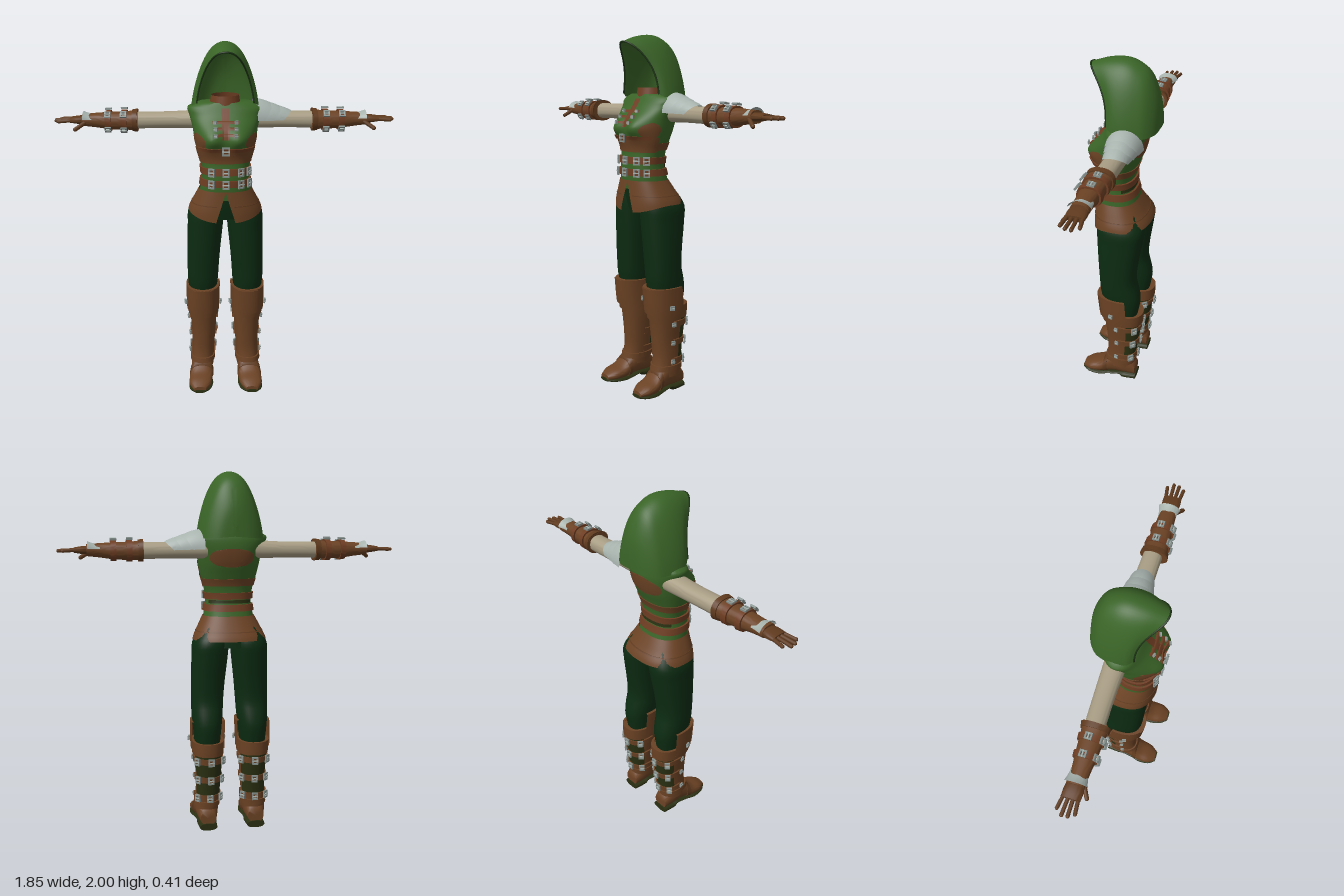
import * as THREE from 'three';
import { toCreasedNormals } from 'three/addons/utils/BufferGeometryUtils.js';

const PI = Math.PI, FRONT = PI / 2;
const mat = (name, color) => new THREE.MeshStandardMaterial({ name, color, side: THREE.DoubleSide });
const M = {
  green: mat('clothGreen', 0x3a6427), pants: mat('trouserGreen', 0x0c2b12), rim: mat('hoodRim', 0x1c3314),
  brown: mat('leather', 0x6b4224), strap: mat('strapLeather', 0x6e3d22), glove: mat('gloveLeather', 0x5f3a1e),
  skin: mat('sleeve', 0xa89d84), silver: mat('silverPlate', 0xa8b3ae), steel: mat('steel', 0x87928f),
  olive: mat('oliveLining', 0x2a3012),
};

function mesh(parent, name, geo, material) {
  const m = new THREE.Mesh(geo, material);
  m.name = name;
  parent.add(m);
  return m;
}

// Grid surface from fn(u, v) -> [x, y, z]
function surf(nu, nv, fn, flip = false) {
  const pos = [], idx = [];
  for (let j = 0; j <= nv; j++) for (let i = 0; i <= nu; i++) pos.push(...fn(i / nu, j / nv, j));
  for (let j = 0; j < nv; j++) for (let i = 0; i < nu; i++) {
    const a = j * (nu + 1) + i, b = a + 1, c = a + nu + 1, d = c + 1;
    idx.push(...(flip ? [a, c, b, b, c, d] : [a, b, c, b, d, c]));
  }
  const g = new THREE.BufferGeometry();
  g.setAttribute('position', new THREE.Float32BufferAttribute(pos, 3));
  g.setIndex(idx);
  return toCreasedNormals(g, 0.9);
}

// Smooth interpolation of cross-sections, keyed by their first number
function sample(S, t) {
  let i = 0;
  while (i < S.length - 2 && t > S[i + 1][0]) i++;
  const A = S[i], B = S[i + 1], P = S[i - 1] || A, N = S[i + 2] || B, h = B[0] - A[0], s = (t - A[0]) / h;
  return A.map((_, k) => {
    const m0 = (B[k] - P[k]) / (B[0] - P[0]) * h, m1 = (N[k] - A[k]) / (N[0] - A[0]) * h;
    const s2 = s * s, s3 = s2 * s;
    return (2 * s3 - 3 * s2 + 1) * A[k] + (s3 - 2 * s2 + s) * m0 + (3 * s2 - 2 * s3) * B[k] + (s3 - s2) * m1;
  });
}

// Point on a body; a section is [along, centre, half width, high side, low side]
const round = v => Math.sign(v) * Math.abs(v) ** 0.86;
function pt(B, t, a, pad = 0, sc = 1) {
  const [, c, r, hi, lo] = sample(B.S, t);
  const w = c + (r + pad) * round(Math.cos(a)) * sc;
  let d = (hi + lo) / 2 + ((hi - lo) / 2 + pad) * round(Math.sin(a)) * sc;
  if (B.bump) d += B.bump(w, t, a) * sc;
  return B.axis === 'y' ? [w, t, d] : B.axis === 'x' ? [t, w, d] : [w, d, t];
}
const body = (axis, S, bump) => ({ axis, S, bump, t0: S[0][0], t1: S[S.length - 1][0] });

// Closed solid from a body
function solid(B, nv = 20, t0 = B.t0, t1 = B.t1, nu = 36) {
  return surf(nu, nv + 2, (u, v, j) => {
    const k = Math.min(Math.max(j - 1, 0), nv) / nv;
    return pt(B, t0 + (t1 - t0) * k, u * 2 * PI, 0, j === 0 || j === nv + 2 ? 0 : 1);
  }, B.axis === 'y');
}

// Raised strip or patch lying on a body
function band(B, t0, t1, pad, a0 = 0, a1 = 2 * PI, nv = 4, oval = false) {
  return surf(40, nv, (u, v, j) => {
    const k = Math.min(Math.max((j - 1) / (nv - 2), 0), 1), edge = j === 0 || j === nv;
    const s = oval ? Math.sqrt(Math.max(1 - (2 * k - 1) ** 2, 0.02)) : 1;
    const a = (a0 + a1) / 2 + (u - 0.5) * (a1 - a0) * s;
    return pt(B, t0 + (t1 - t0) * k, a, edge ? -0.004 : pad);
  }, B.axis === 'y');
}

// Open rectangular frame with a prong, facing outward from a body
function buckle(parent, B, t, a, w = 0.034, h = 0.04, pad = 0.012) {
  const s = new THREE.Shape(), hole = new THREE.Path();
  const rect = (p, x, y) => p.moveTo(-x, -y).lineTo(x, -y).lineTo(x, y).lineTo(-x, y).closePath();
  rect(s, w / 2, h / 2);
  rect(hole, w / 2 - 0.008, h / 2 - 0.008);
  s.holes.push(hole);
  const g = new THREE.Group();
  g.name = 'buckle';
  mesh(g, 'buckleFrame', new THREE.ExtrudeGeometry(s, { depth: 0.01, bevelEnabled: false }), M.steel);
  mesh(g, 'bucklePin', new THREE.BoxGeometry(w, 0.006, 0.008), M.silver).position.z = 0.008;
  g.position.set(...pt(B, t, a, pad));
  g.lookAt(new THREE.Vector3(...pt(B, t, a, pad + 0.1)));
  parent.add(g);
}

// Tapered finger between two points
function finger(parent, name, p, q, r) {
  const a = new THREE.Vector3(...p), b = new THREE.Vector3(...q), d = b.clone().sub(a);
  const m = mesh(parent, name, new THREE.CapsuleGeometry(r, d.length(), 4, 8), M.glove);
  m.position.copy(a).lerp(b, 0.5);
  m.quaternion.setFromUnitVectors(new THREE.Vector3(0, 1, 0), d.normalize());
}

const bust = (x, y, a) => Math.sin(a) > 0
  ? 0.04 * Math.sin(a) * Math.exp(-(((Math.abs(x) - 0.08) / 0.06) ** 2) - ((y - 1.505) / 0.05) ** 2) : 0;
const torso = body('y', [
  [1.17, 0, 0.145, 0.135, -0.1], [1.24, 0, 0.136, 0.142, -0.08], [1.31, 0, 0.128, 0.142, -0.065],
  [1.38, 0, 0.138, 0.135, -0.07], [1.44, 0, 0.155, 0.145, -0.09], [1.5, 0, 0.168, 0.15, -0.112],
  [1.56, 0, 0.178, 0.135, -0.125], [1.62, 0, 0.195, 0.09, -0.128], [1.66, 0, 0.2, 0.065, -0.12],
  [1.685, 0, 0.14, 0.05, -0.1]], bust);
const hips = body('y', [[1.05, 0, 0.17, 0.1, -0.13], [1.12, 0, 0.165, 0.115, -0.12], [1.2, 0, 0.13, 0.125, -0.08]]);
const skirt = body('y', [[1.03, 0, 0.212, 0.152, -0.175], [1.1, 0, 0.203, 0.152, -0.163],
  [1.16, 0, 0.175, 0.148, -0.125], [1.225, 0, 0.142, 0.143, -0.085]]);
const trouser = body('y', [
  [0.48, 0.13, 0.07, 0.07, -0.12], [0.6, 0.13, 0.081, 0.085, -0.137], [0.66, 0.129, 0.087, 0.095, -0.128],
  [0.74, 0.127, 0.09, 0.1, -0.11], [0.85, 0.122, 0.094, 0.107, -0.118], [1, 0.112, 0.1, 0.115, -0.14],
  [1.08, 0.106, 0.1, 0.118, -0.145], [1.17, 0.08, 0.075, 0.11, -0.1]]);
const shaft = body('y', [
  [0.1, 0.137, 0.066, 0.07, -0.11], [0.2, 0.132, 0.066, 0.055, -0.115], [0.3, 0.128, 0.069, 0.06, -0.127],
  [0.4, 0.128, 0.076, 0.07, -0.14], [0.5, 0.13, 0.08, 0.084, -0.148], [0.64, 0.128, 0.082, 0.098, -0.14]]);
const foot = body('z', [
  [-0.12, 0.137, 0.045, 0.11, 0.03], [-0.06, 0.137, 0.06, 0.17, 0.03], [0, 0.138, 0.062, 0.18, 0.03],
  [0.05, 0.14, 0.064, 0.145, 0.025], [0.1, 0.145, 0.068, 0.1, 0.02], [0.16, 0.15, 0.061, 0.078, 0.02],
  [0.203, 0.152, 0.035, 0.055, 0.022]]);
const sole = body('z', [
  [-0.125, 0.137, 0.05, 0.04, 0], [-0.04, 0.137, 0.056, 0.04, 0], [-0.025, 0.137, 0.056, 0.04, 0.022],
  [0.05, 0.14, 0.062, 0.034, 0.012], [0.1, 0.145, 0.071, 0.034, 0.007], [0.17, 0.15, 0.06, 0.034, 0.01],
  [0.209, 0.152, 0.032, 0.036, 0.018]]);
const arm = body('x', [[0.13, 1.585, 0.05, 0.015, -0.1], [0.3, 1.582, 0.044, 0.008, -0.096], [0.5, 1.58, 0.045, 0.008, -0.09]]);
const bracer = body('x', [
  [0.472, 1.582, 0.055, 0.032, -0.103], [0.53, 1.58, 0.049, 0.024, -0.094], [0.62, 1.58, 0.046, 0.018, -0.088],
  [0.7, 1.583, 0.038, 0.01, -0.08], [0.77, 1.585, 0.032, 0.008, -0.082]]);
const palm = body('x', [[0.74, 1.585, 0.022, 0, -0.075], [0.79, 1.585, 0.021, 0.01, -0.085], [0.835, 1.585, 0.014, 0.008, -0.086]]);

function buildLeg() {
  const g = new THREE.Group();
  mesh(g, 'trouserLeg', solid(trouser, 28), M.pants);
  mesh(g, 'bootShaft', solid(shaft, 20, 0.1, 0.5), M.brown);
  mesh(g, 'bootFoot', solid(foot, 24), M.brown);
  mesh(g, 'bootSole', solid(sole, 24), M.olive);
  mesh(g, 'calfLining', band(shaft, 0.2, 0.45, 0.003, -2.75, -0.3, 10), M.olive);
  mesh(g, 'bootCuff', band(shaft, 0.44, 0.515, 0.01), M.brown);
  mesh(g, 'kneeFlap', band(shaft, 0.47, 0.625, 0.016, -0.3, PI + 0.3, 8), M.brown);
  mesh(g, 'kneeRidge', band(shaft, 0.475, 0.622, 0.021, FRONT - 0.55, FRONT + 0.55, 8), M.brown);
  mesh(g, 'ankleBand', band(shaft, 0.135, 0.165, 0.008), M.brown);
  mesh(g, 'instepStrap', band(foot, 0.05, 0.075, 0.004), M.glove);
  // Calf straps
  for (const y of [0.19, 0.3, 0.41]) {
    mesh(g, 'calfStrap', band(shaft, y - 0.017, y + 0.017, 0.009, -PI - 0.1, 0.1), M.brown);
    for (const a of [-0.75, -1.6, -2.5]) buckle(g, shaft, y, a, 0.034, 0.042);
    buckle(g, shaft, y, 0.12, 0.022, 0.024, 0.006);
  }
  for (const a of [0.25, PI - 0.25]) buckle(g, shaft, 0.515, a, 0.025, 0.025, 0.018);
  return g;
}

function buildArm() {
  const g = new THREE.Group();
  mesh(g, 'sleeve', solid(arm, 10), M.skin);
  mesh(g, 'bracer', solid(bracer, 16), M.brown);
  mesh(g, 'bracerCuff', band(bracer, 0.473, 0.5, 0.006), M.glove);
  for (const x of [0.545, 0.63]) {
    mesh(g, 'bracerStrap', band(bracer, x - 0.015, x + 0.015, 0.009), M.strap);
    for (const a of [-0.1, 0.9, 2.2]) buckle(g, bracer, x, a, 0.034, 0.036);
  }
  // Flared plate over the wrist
  mesh(g, 'wristPlate', surf(20, 6, (u, v) => {
    const a = -1.35 + 2.7 * u, r = 0.034 + 0.014 * v * v;
    return [0.7 + 0.065 * v, 1.583 + r * Math.cos(a), -0.037 + (r + 0.012) * Math.sin(a)];
  }), M.silver);
  mesh(g, 'palm', solid(palm, 8), M.glove);
  [[-0.074, -0.085, 0.89], [-0.05, -0.055, 0.915], [-0.027, -0.026, 0.912], [-0.004, 0.003, 0.895]].forEach(([z0, z1, x]) =>
    finger(g, 'finger', [0.825, 1.586, z0], [x, 1.582, z1], 0.0095));
  finger(g, 'thumb', [0.755, 1.575, 0], [0.805, 1.543, 0.027], 0.011);
  return g;
}

export function createModel() {
  const root = new THREE.Group();
  root.name = 'hoodedOutfit';

  for (const side of [1, -1]) {
    const leg = buildLeg(), a = buildArm();
    leg.name = side > 0 ? 'leftLeg' : 'rightLeg';
    a.name = side > 0 ? 'leftArm' : 'rightArm';
    leg.scale.x = a.scale.x = side;
    root.add(leg, a);
  }

  // Tunic with leather bands and patches
  mesh(root, 'tunic', solid(torso, 40, torso.t0, torso.t1, 64), M.green);
  mesh(root, 'hips', solid(hips, 8), M.pants);
  mesh(root, 'underbustBand', band(torso, 1.375, 1.455, 0.005, 0.15, PI - 0.15, 8), M.brown);
  mesh(root, 'backBand', band(torso, 1.385, 1.425, 0.005, -PI - 0.2, 0.2, 6), M.brown);
  mesh(root, 'backPatch', band(torso, 1.49, 1.59, 0.003, -FRONT - 0.7, -FRONT + 0.7, 12, true), M.brown);
  for (const a of [0.55, PI - 0.55]) mesh(root, 'chestPatch', band(torso, 1.445, 1.535, 0.003, a - 0.4, a + 0.4, 10, true), M.brown);
  mesh(root, 'chestStrap', band(torso, 1.442, 1.462, 0.012, 0.5, PI - 0.5), M.strap);
  buckle(root, torso, 1.452, FRONT, 0.04, 0.045, 0.025);
  for (const y of [1.265, 1.33]) {
    mesh(root, 'waistBelt', band(torso, y - 0.018, y + 0.018, 0.01), M.strap);
    for (const a of [0.6, 1.05, FRONT, 2.05]) buckle(root, torso, y, a, 0.036, 0.046, 0.014);
  }
  mesh(root, 'backLining', band(torso, 1.29, 1.308, 0.003, -2.6, -0.5), M.olive);

  // Chest closure
  mesh(root, 'placket', band(torso, 1.51, 1.66, 0.004, FRONT - 0.07, FRONT + 0.07, 12), M.strap);
  for (const y of [1.535, 1.565, 1.595]) {
    mesh(root, 'closureTab', band(torso, y - 0.006, y + 0.006, 0.009, FRONT - 0.3, FRONT + 0.3), M.strap);
    for (const a of [-0.23, 0.23]) buckle(root, torso, y, FRONT + a, 0.018, 0.02, 0.01);
  }
  const collar = mesh(root, 'collar', new THREE.CylinderGeometry(0.075, 0.085, 0.06, 28, 1, true), M.strap);
  collar.position.set(0, 1.69, -0.025);

  // Flared skirt, split at the front
  mesh(root, 'skirt', surf(64, 10, (u, v) => {
    const gap = 0.2 * v, a = FRONT + gap + u * (2 * PI - 2 * gap);
    const hem = 1.09 - 0.045 * Math.max(Math.sin(a), 0) ** 2;
    return pt(skirt, 1.22 + (hem - 1.22) * v, a);
  }), M.brown);
  mesh(root, 'skirtSeam', band(skirt, 1.135, 1.14, 0.002, FRONT + 0.2, FRONT + 2 * PI - 0.2), M.glove);

  // Hood made of arches from brow to nape: [key, foot half width, foot y, foot z, apex y, apex z, lean]
  const arches = [
    [0, 0.152, 1.685, 0.05, 1.96, 0.17, 2.6], [1, 0.176, 1.668, 0.015, 1.99, 0.08, 2],
    [2, 0.182, 1.655, -0.04, 2, -0.01, 1], [3, 0.17, 1.648, -0.1, 1.98, -0.08, 1],
    [4, 0.145, 1.645, -0.15, 1.93, -0.14, 1], [5, 0.085, 1.648, -0.19, 1.82, -0.185, 1],
    [6, 0, 1.655, -0.2, 1.7, -0.2, 1]];
  const hoodPoint = (u, v) => {
    const [, w, fy, fz, ay, az, p] = sample(arches, v * 6), s = PI * u, h = Math.sin(s);
    return [w * Math.cos(s) * (1 - 0.1 * Math.abs(Math.sin(2 * s))), fy + (ay - fy) * h, fz + (az - fz) * h ** p];
  };
  mesh(root, 'hood', surf(40, 30, hoodPoint), M.green);
  const edge = Array.from({ length: 25 }, (_, i) => new THREE.Vector3(...hoodPoint(i / 24, 0)));
  mesh(root, 'hoodRim', new THREE.TubeGeometry(new THREE.CatmullRomCurve3(edge), 60, 0.005, 6), M.rim);

  // Layered shoulder guard on the left
  for (let k = 0; k < 3; k++) mesh(root, 'shoulderPlate', surf(24, 8, (u, v) => {
    const a = -1.5 + 3 * u, c = Math.cos(a), r = 0.115 - 0.018 * k - 0.03 * v * v;
    return [0.15 + 0.05 * k + v * (0.06 + 0.05 * c), 1.58 + r * c, -0.05 + (0.1 - 0.012 * k - 0.01 * v) * Math.sin(a)];
  }), M.silver);

  return root;
}
